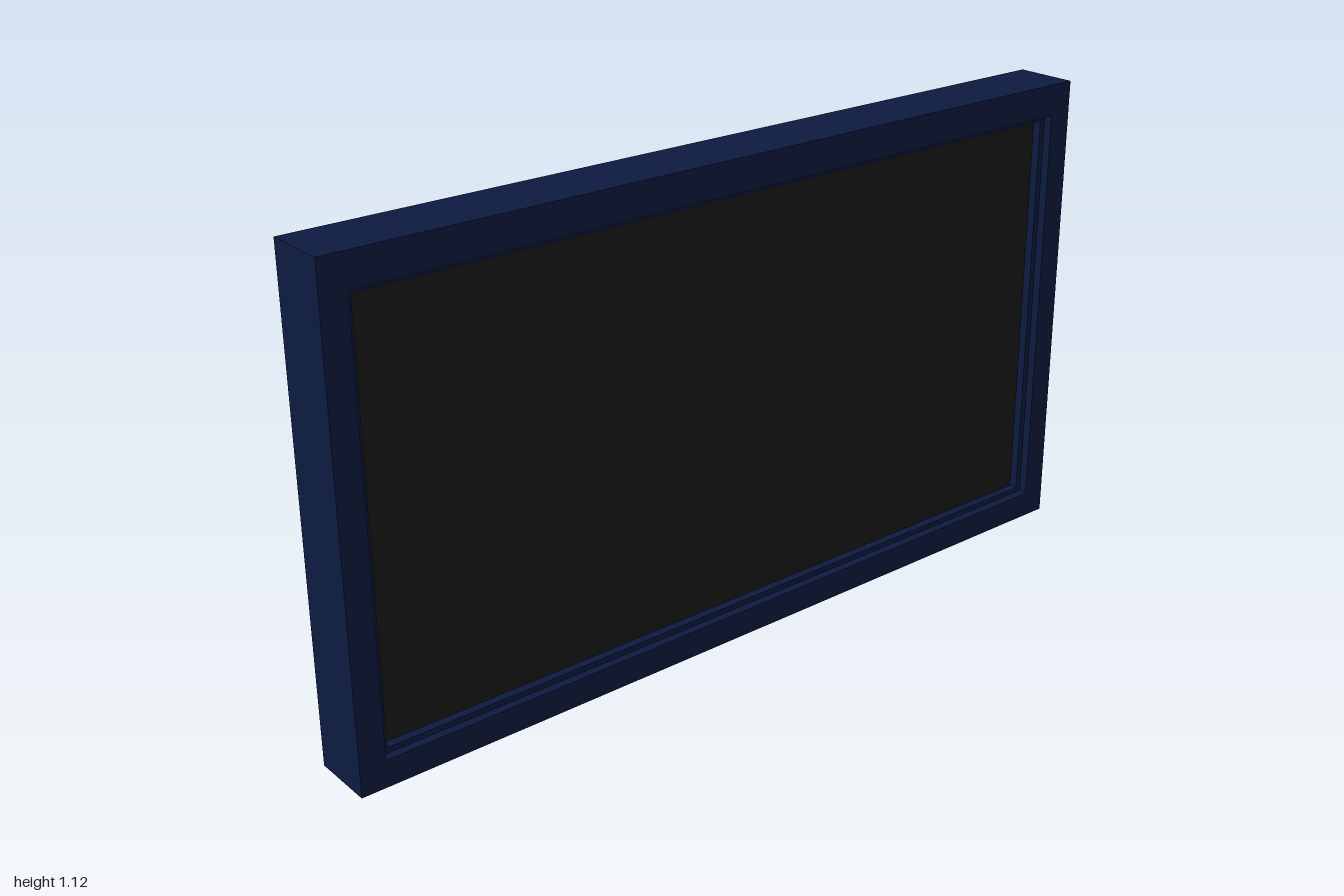
import * as THREE from 'three';
import { mergeGeometries } from 'three/addons/utils/BufferGeometryUtils.js';

// Skin a run of rectangles [halfWidth, bottom, top, z], listed from back to front.
// Each of the four sides is its own strip, so the corners stay mitred and sharp.
function rectLoft(rings, smooth) {
  const corners = ([w, b, t, z]) => [[-w, b, z], [w, b, z], [w, t, z], [-w, t, z]];
  const strips = [0, 1, 2, 3].map((side) => {
    const pos = [], index = [];
    rings.forEach((ring, j) => {
      const c = corners(ring);
      pos.push(...c[side], ...c[(side + 1) % 4]);
      if (j > 0) {
        const a = 2 * (j - 1);
        index.push(a, a + 1, a + 3, a, a + 3, a + 2);
      }
    });
    const g = new THREE.BufferGeometry();
    g.setAttribute('position', new THREE.Float32BufferAttribute(pos, 3));
    g.setIndex(index);
    const out = smooth ? g : g.toNonIndexed();
    out.computeVertexNormals();
    return out;
  });
  return mergeGeometries(strips);
}

export function createModel() {
  const group = new THREE.Group();
  const navy = new THREE.MeshStandardMaterial({ color: 0x0d1b40 });
  const black = new THREE.MeshStandardMaterial({ color: 0x1a1a1a });
  const add = (name, geometry, material) => {
    const mesh = new THREE.Mesh(geometry, material);
    mesh.name = name;
    group.add(mesh);
    return mesh;
  };

  const back = -0.056, front = 0.094, height = 1.125;

  // Casing: back face, outer walls, front bezel and a stepped recess
  add('casing', rectLoft([
    [0, height / 2, height / 2, back],
    [1, 0, height, back],
    [1, 0, height, front],
    [0.94, 0.063, 1.05, front],
    [0.94, 0.063, 1.05, front - 0.02],
    [0.925, 0.076, 1.036, front - 0.02],
    [0.925, 0.076, 1.036, front - 0.04],
  ], false), navy);

  // Screen at the bottom of the recess
  const screen = add('screen', new THREE.PlaneGeometry(1.85, 0.96), black);
  screen.position.set(0, 0.556, front - 0.04);

  // Raised rear cover with a rounded rim
  const w = 0.85, b = 0.15, t = 0.96, depth = 0.038, rx = 0.045, rz = 0.024;
  const inset = (d, z) => [w - d, b + d, t - d, z];
  const rings = [inset(0, 0)];
  for (let i = 0; i <= 8; i++) {
    const a = (i / 8) * Math.PI / 2;
    rings.push(inset(rx * (1 - Math.cos(a)), depth - rz + rz * Math.sin(a)));
  }
  rings.push(inset(0.12, depth), [0, (b + t) / 2, (b + t) / 2, depth]);
  const cover = add('rearCover', rectLoft(rings, true), navy);
  cover.rotation.y = Math.PI;
  cover.position.z = back;

  return group;
}
